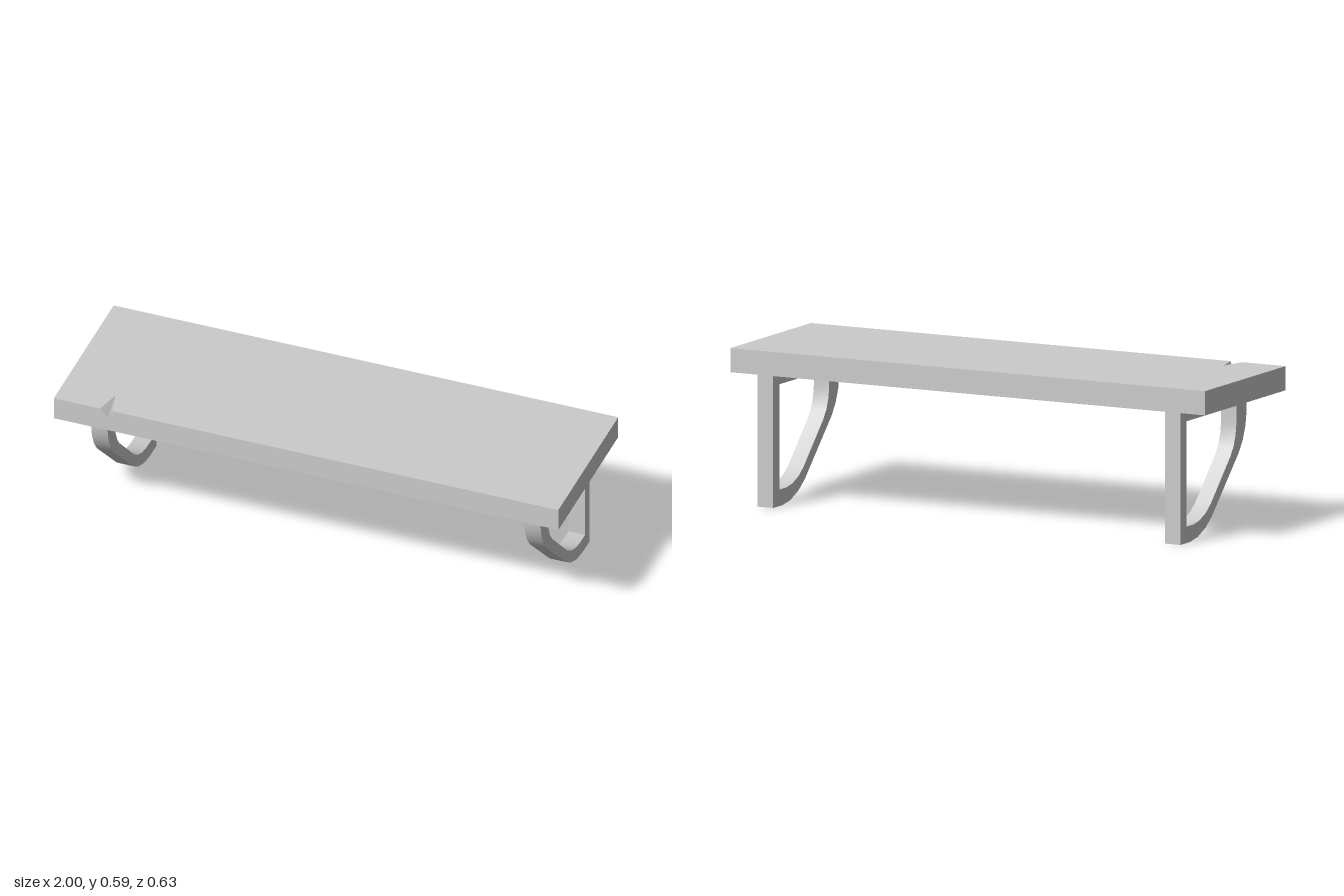
import * as THREE from 'three';
import { toCreasedNormals } from 'three/addons/utils/BufferGeometryUtils.js';

const grey = new THREE.MeshStandardMaterial({ color: 0xcccccc });

// Flat faces, each a loop of corners fanned from its first corner
function facesGeometry(faces) {
  const pos = [];
  for (const f of faces)
    for (let i = 1; i < f.length - 1; i++) pos.push(...f[0], ...f[i], ...f[i + 1]);
  const geo = new THREE.BufferGeometry();
  geo.setAttribute('position', new THREE.Float32BufferAttribute(pos, 3));
  geo.computeVertexNormals();
  return geo;
}

// Board with a small V-shaped nick in its front top edge
function createBoard() {
  const z = 0.314, lo = 0.498, hi = 0.589;
  const [FL, FR, BR, BL] = [[-1, hi, z], [1, hi, z], [1, hi, -z], [-1, hi, -z]];
  const [fl, fr, br, bl] = [[-1, lo, z], [1, lo, z], [1, lo, -z], [-1, lo, -z]];
  const nickL = [-0.817, hi, z], nickR = [-0.767, hi, z];
  const nickLow = [-0.786, 0.552, z], nickTip = [-0.792, hi, 0.217];
  const board = new THREE.Mesh(facesGeometry([
    [nickTip, nickR, FR, BR, BL, FL, nickL],  // top
    [nickLow, nickL, FL, fl, fr, FR, nickR],  // front
    [nickL, nickLow, nickTip],                // nick walls
    [nickLow, nickR, nickTip],
    [fl, bl, br, fr],                         // bottom
    [BR, br, bl, BL],                         // back
    [FR, fr, br, BR],                         // ends
    [FL, BL, bl, fl],
  ]), grey);
  board.name = 'shelfBoard';
  return board;
}

// Bracket side profile as (z, y) points: outline anticlockwise, opening clockwise
const outline = [
  [-0.304, 0], [-0.229, 0], [-0.168, 0.01], [-0.105, 0.037], [-0.057, 0.072], [0.152, 0.279],
  [0.183, 0.323], [0.204, 0.374], [0.212, 0.424], [0.212, 0.498], [-0.304, 0.498],
];
const opening = [
  [-0.255, 0.062], [-0.255, 0.458], [0.133, 0.458], [0.133, 0.389], [0.127, 0.349], [0.111, 0.308],
  [0.087, 0.275], [-0.066, 0.12], [-0.105, 0.091], [-0.154, 0.07], [-0.2, 0.062],
];

function bracketGeometry() {
  const points = list => list.map(([z, y]) => new THREE.Vector2(z, y));
  const shape = new THREE.Shape(points(outline));
  shape.holes.push(new THREE.Path(points(opening)));
  const width = 0.065;
  const geo = new THREE.ExtrudeGeometry(shape, { depth: width, bevelEnabled: false });
  geo.translate(0, 0, -width / 2).rotateY(-Math.PI / 2);
  return toCreasedNormals(geo, 0.5);
}

export function createModel() {
  const model = new THREE.Group();
  model.name = 'wallShelf';
  model.add(createBoard());

  // Matching brackets under both ends
  const geo = bracketGeometry();
  for (const side of [-1, 1]) {
    const bracket = new THREE.Mesh(geo, grey);
    bracket.name = side > 0 ? 'leftBracket' : 'rightBracket';
    bracket.position.x = side * 0.858;
    model.add(bracket);
  }
  return model;
}
